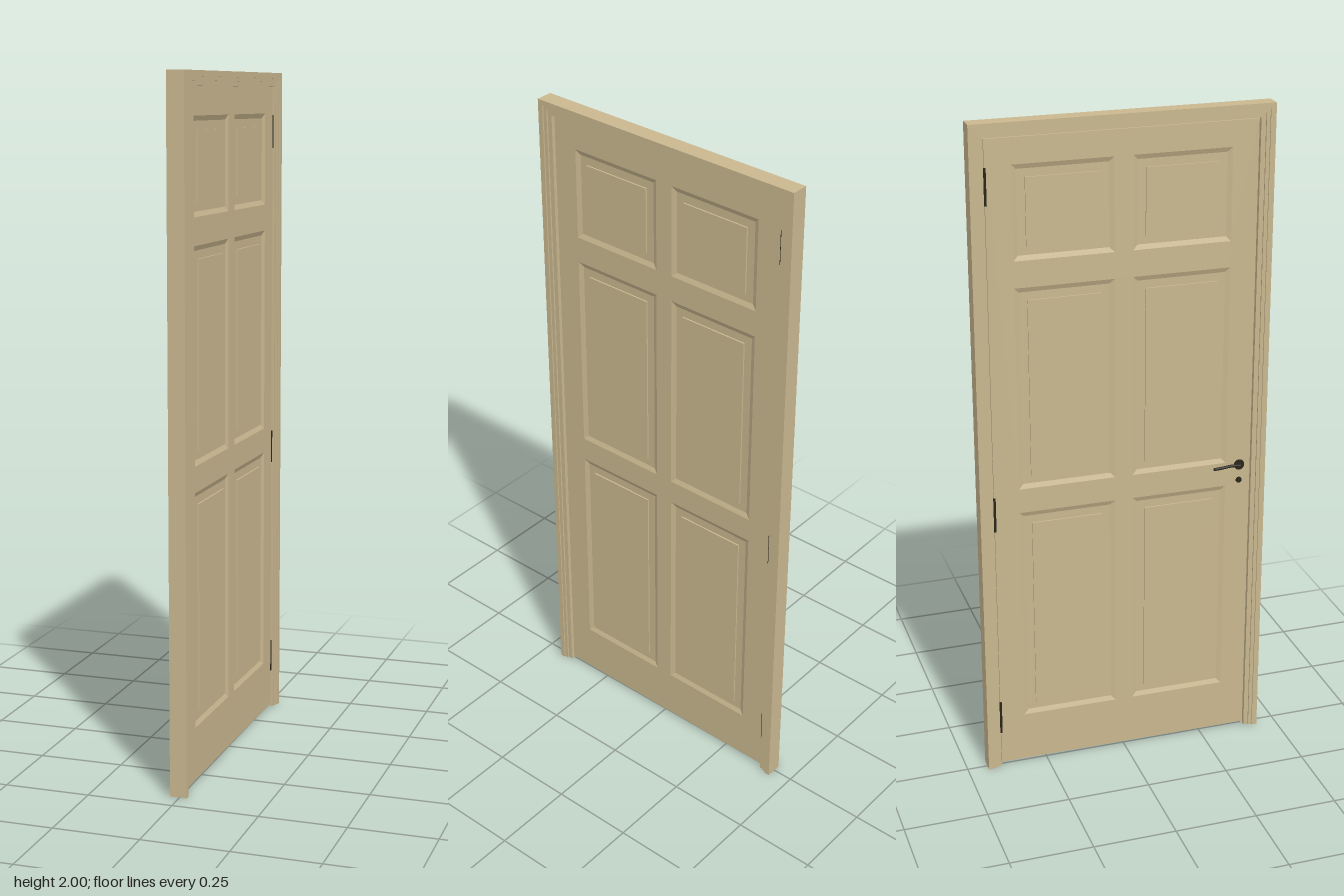
import * as THREE from 'three';

const W = 0.438, H = 2;      // half width and height of the frame
const LEAF = 0.009;          // half thickness of the door leaf

const wood = new THREE.MeshStandardMaterial({ color: 0xc9b78f });
wood.name = 'tan wood';
const metal = new THREE.MeshStandardMaterial({ color: 0x2a261c });
metal.name = 'dark metal';

function part(parent, name, geometry, material, x = 0, y = 0, z = 0) {
  const mesh = new THREE.Mesh(geometry, material);
  mesh.name = name;
  mesh.position.set(x, y, z);
  parent.add(mesh);
  return mesh;
}

function slab(shape, half) {
  return new THREE.ExtrudeGeometry(shape, { depth: half * 2, bevelEnabled: false }).translate(0, 0, -half);
}

// Three-sided surround: two jambs and a head, open at the bottom
function surround(outer, inner, half) {
  const a = W - outer, b = W - inner;
  const points = [[-a, 0], [-b, 0], [-b, H - inner], [b, H - inner], [b, 0], [a, 0], [a, H - outer], [-a, H - outer]];
  return slab(new THREE.Shape(points.map(p => new THREE.Vector2(...p))), half);
}

// Nested rectangles [inset, depth] joined into a moulding, closed by a flat field
function panelGeometry(w, h, rings) {
  const pos = [];
  const loops = rings.map(([inset, z]) => {
    const x = w / 2 - inset, y = h / 2 - inset;
    return [[-x, -y, z], [x, -y, z], [x, y, z], [-x, y, z]];
  });
  const quad = (a, b, c, d) => pos.push(...a, ...b, ...c, ...a, ...c, ...d);
  for (let i = 0; i + 1 < loops.length; i++) {
    for (let k = 0; k < 4; k++) {
      const n = (k + 1) % 4;
      quad(loops[i][k], loops[i][n], loops[i + 1][n], loops[i + 1][k]);
    }
  }
  quad(...loops[loops.length - 1]);
  const geometry = new THREE.BufferGeometry();
  geometry.setAttribute('position', new THREE.Float32BufferAttribute(pos, 3));
  geometry.computeVertexNormals();
  return geometry;
}

export function createModel() {
  const model = new THREE.Group();
  model.name = 'panelDoor';
  const door = new THREE.Group();
  door.name = 'doorAndFrame';
  model.add(door);

  // Stepped frame, from the outer band to the thin stop behind the gap
  const steps = [[0, 0.016, 0.025], [0.016, 0.027, 0.021], [0.027, 0.041, 0.016], [0.041, 0.047, 0.003]];
  const names = ['outerFrame', 'middleFrame', 'innerFrame', 'doorStop'];
  steps.forEach((s, i) => part(door, names[i], surround(...s), wood));

  // Leaf with six openings
  const columns = [[-0.318, -0.027], [0.027, 0.318]];
  const rows = [[0.165, 0.845], [0.92, 1.53], [1.608, 1.88]];
  const x = 0.393, bottom = 0.01, top = 1.955;
  const leaf = new THREE.Shape([[-x, bottom], [x, bottom], [x, top], [-x, top]].map(p => new THREE.Vector2(...p)));
  const rings = [[0, LEAF], [0.014, 0.003], [0.038, 0.003], [0.038, 0.0075]];
  for (const [x0, x1] of columns) {
    for (const [y0, y1] of rows) {
      leaf.holes.push(new THREE.Path([[x0, y0], [x0, y1], [x1, y1], [x1, y0]].map(p => new THREE.Vector2(...p))));
      // Raised panel on both faces
      const geometry = panelGeometry(x1 - x0, y1 - y0, rings);
      for (const turn of [0, Math.PI]) {
        part(door, 'raisedPanel', geometry, wood, (x0 + x1) / 2, (y0 + y1) / 2).rotation.y = turn;
      }
    }
  }
  part(door, 'doorLeaf', slab(leaf, LEAF), wood);

  // Hinges: a plate in the gap and a knuckle on the handle side
  for (const y of [0.17, 0.85, 1.825]) {
    part(door, 'hingePlate', new THREE.BoxGeometry(0.005, 0.1, 0.022), metal, 0.394, y, 0);
    part(door, 'hingeKnuckle', new THREE.CylinderGeometry(0.004, 0.004, 0.105, 12), metal, 0.393, y, -0.013);
  }

  // Lever handle and keyhole plate
  const disc = (r, d) => new THREE.CylinderGeometry(r, r, d, 24).rotateX(Math.PI / 2);
  const hx = -0.36, hy = 0.91;
  part(door, 'handleRose', disc(0.016, 0.004), metal, hx, hy, -LEAF - 0.002);
  part(door, 'handleNeck', disc(0.006, 0.012), metal, hx, hy, -LEAF - 0.006);
  const path = new THREE.CatmullRomCurve3([[0, 0], [0.03, 0.002], [0.06, -0.001], [0.08, -0.002]]
    .map(([dx, dy]) => new THREE.Vector3(hx + dx, hy + dy, -0.02)));
  part(door, 'handleLever', new THREE.TubeGeometry(path, 16, 0.0045, 10), metal);
  for (const p of [path.getPoint(0), path.getPoint(1)]) {
    part(door, 'leverEnd', new THREE.SphereGeometry(0.0045, 12, 8), metal, p.x, p.y, p.z);
  }
  part(door, 'keyholePlate', disc(0.009, 0.004), metal, hx, 0.86, -LEAF - 0.002);

  // The door faces sideways, turned very slightly
  door.rotation.y = Math.PI / 2 - 0.0075;
  return model;
}
